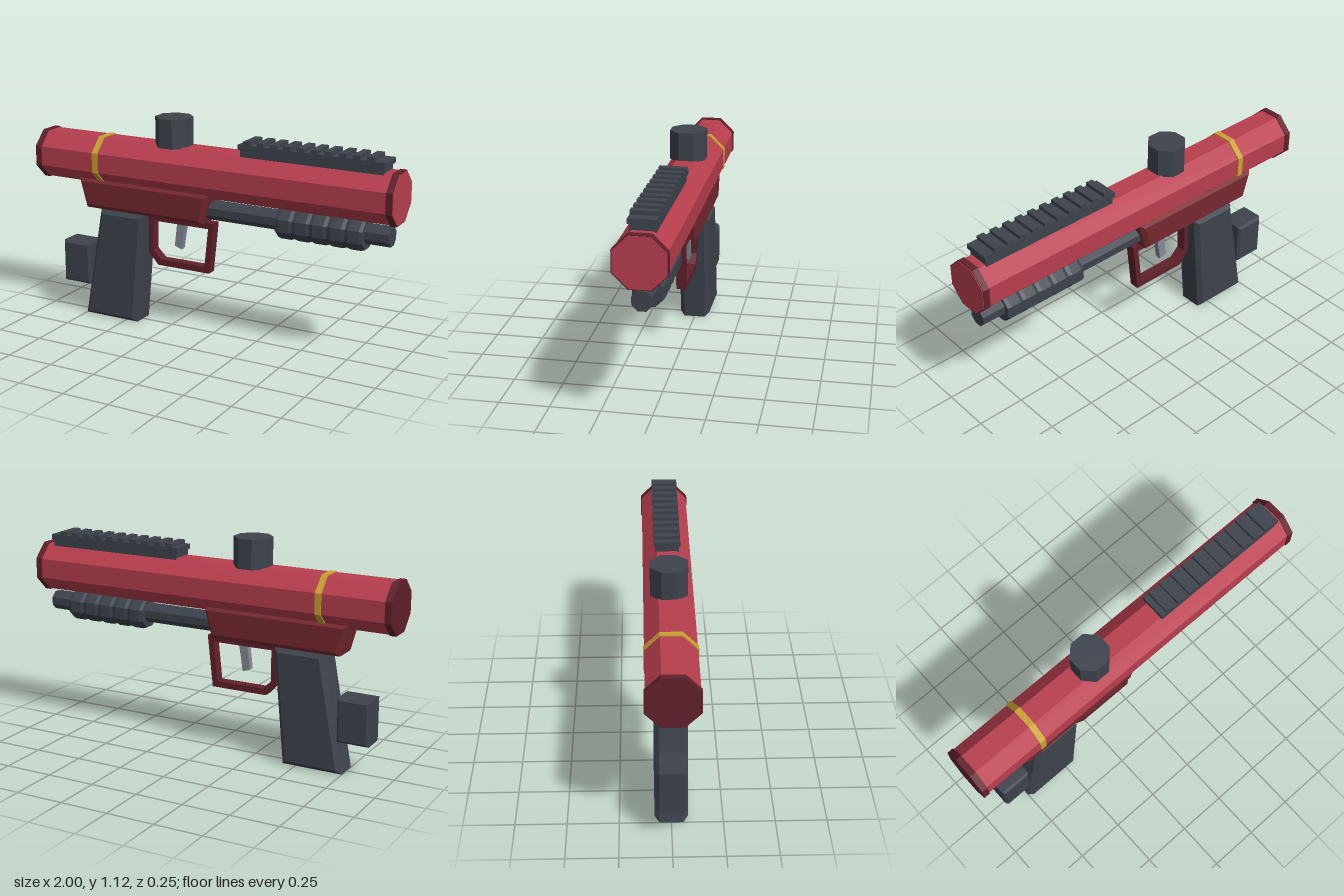
import * as THREE from 'three';

const mat = (name, color) => {
  const m = new THREE.MeshStandardMaterial({ color, flatShading: true });
  m.name = name;
  return m;
};

export function createModel() {
  const model = new THREE.Group();
  model.name = 'blaster';
  const red = mat('red', 0xb83e4e);
  const darkRed = mat('dark red', 0x61202c);
  const housingRed = mat('housing red', 0x76282f);
  const charcoal = mat('charcoal', 0x3d434d);
  const yellow = mat('yellow', 0xcaa232);
  const steel = mat('steel', 0x858a96);

  const add = (name, geometry, material, x = 0, y = 0, z = 0, parent = model) => {
    const mesh = new THREE.Mesh(geometry, material);
    mesh.name = name;
    mesh.position.set(x, y, z);
    parent.add(mesh);
    return mesh;
  };
  const box = (name, x0, x1, y0, y1, halfZ, material, parent) =>
    add(name, new THREE.BoxGeometry(x1 - x0, y1 - y0, halfZ * 2), material,
      (x0 + x1) / 2, (y0 + y1) / 2, 0, parent);

  // Octagonal prism with a flat side up; size is centre to flat
  const toRadius = (flat) => flat / Math.cos(Math.PI / 8);
  const octagon = (flat, length) =>
    new THREE.CylinderGeometry(toRadius(flat), toRadius(flat), length, 8).rotateY(Math.PI / 8);
  const octagonX = (name, x0, x1, y, flat, material) =>
    add(name, octagon(flat, x1 - x0).rotateZ(-Math.PI / 2), material, (x0 + x1) / 2, y);

  // Side outline extruded across z, with a chamfer kept inside the outline
  const slab = (name, outline, halfZ, bevel, material, hole) => {
    const points = (list) => list.map(([x, y]) => new THREE.Vector2(x, y));
    const shape = new THREE.Shape(points(outline));
    if (hole) shape.holes.push(new THREE.Path(points(hole)));
    const geometry = new THREE.ExtrudeGeometry(shape, {
      depth: 2 * (halfZ - bevel), bevelEnabled: bevel > 0, bevelThickness: bevel,
      bevelSize: bevel, bevelOffset: -bevel, bevelSegments: 1,
    });
    geometry.translate(0, 0, bevel - halfZ);
    return add(name, geometry, material);
  };

  // Main tube, end rings and band
  const axisY = 0.865;
  octagonX('mainTube', -0.997, 1, axisY, 0.122, red);
  octagonX('rearRing', -1, -0.967, axisY, 0.127, darkRed);
  octagonX('frontRing', 0.965, 0.997, axisY, 0.127, darkRed);
  octagonX('band', -0.647, -0.615, axisY, 0.127, yellow);

  // Hopper neck on top
  add('topNeck', octagon(0.09, 0.15), charcoal, -0.225, 1.055);

  // Toothed top rail
  const rail = new THREE.Group();
  rail.name = 'topRail';
  model.add(rail);
  box('railBase', 0.18, 0.925, 0.98, 1.016, 0.06, charcoal, rail);
  box('railPlate', 0.17, 0.935, 1.016, 1.042, 0.067, charcoal, rail);
  for (let i = 0; i < 10; i++) {
    const x = 0.2 + i * 0.0714;
    box('railTooth', x, x + 0.037, 1.04, 1.061, 0.067, charcoal, rail);
  }

  // Lower rod and ribbed pump handle
  const rodY = 0.672;
  octagonX('lowerRod', -0.05, 0.96, rodY, 0.047, charcoal);
  const profile = [new THREE.Vector2(toRadius(0.04), 0.377)];
  const ribs = 5, ribLength = 0.0916;
  for (let i = 0; i < ribs; i++) {
    const x = 0.377 + i * ribLength;
    for (const [t, flat] of [[0, 0.069], [0.2, 0.075], [0.8, 0.075]])
      profile.push(new THREE.Vector2(toRadius(flat), x + t * ribLength));
  }
  profile.push(new THREE.Vector2(toRadius(0.069), 0.835), new THREE.Vector2(toRadius(0.04), 0.835));
  const pump = new THREE.LatheGeometry(profile, 8).rotateY(Math.PI / 8).rotateZ(-Math.PI / 2);
  add('pumpHandle', pump, charcoal, 0, 0.664);

  // Trigger housing
  slab('housing', [[-0.725, 0.605], [-0.03, 0.605], [0.015, 0.767], [-0.77, 0.767]],
    0.086, 0.022, housingRed);

  // Slanted grip and the block behind it
  slab('grip', [[-0.75, 0.005], [-0.43, 0.005], [-0.375, 0.605], [-0.64, 0.605]],
    0.08, 0.023, charcoal);
  slab('rearBlock', [[-0.885, 0.17], [-0.718, 0.17], [-0.718, 0.397], [-0.885, 0.397]],
    0.07, 0.012, charcoal);

  // Trigger guard loop and trigger
  slab('triggerGuard',
    [[-0.37, 0.395], [-0.315, 0.335], [-0.013, 0.335], [0.016, 0.605], [-0.37, 0.605]],
    0.026, 0, darkRed,
    [[-0.343, 0.412], [-0.298, 0.367], [-0.04, 0.367], [-0.018, 0.573], [-0.343, 0.573]]);
  slab('trigger', [[-0.22, 0.452], [-0.18, 0.437], [-0.155, 0.59], [-0.203, 0.59]],
    0.016, 0, steel);

  return model;
}
